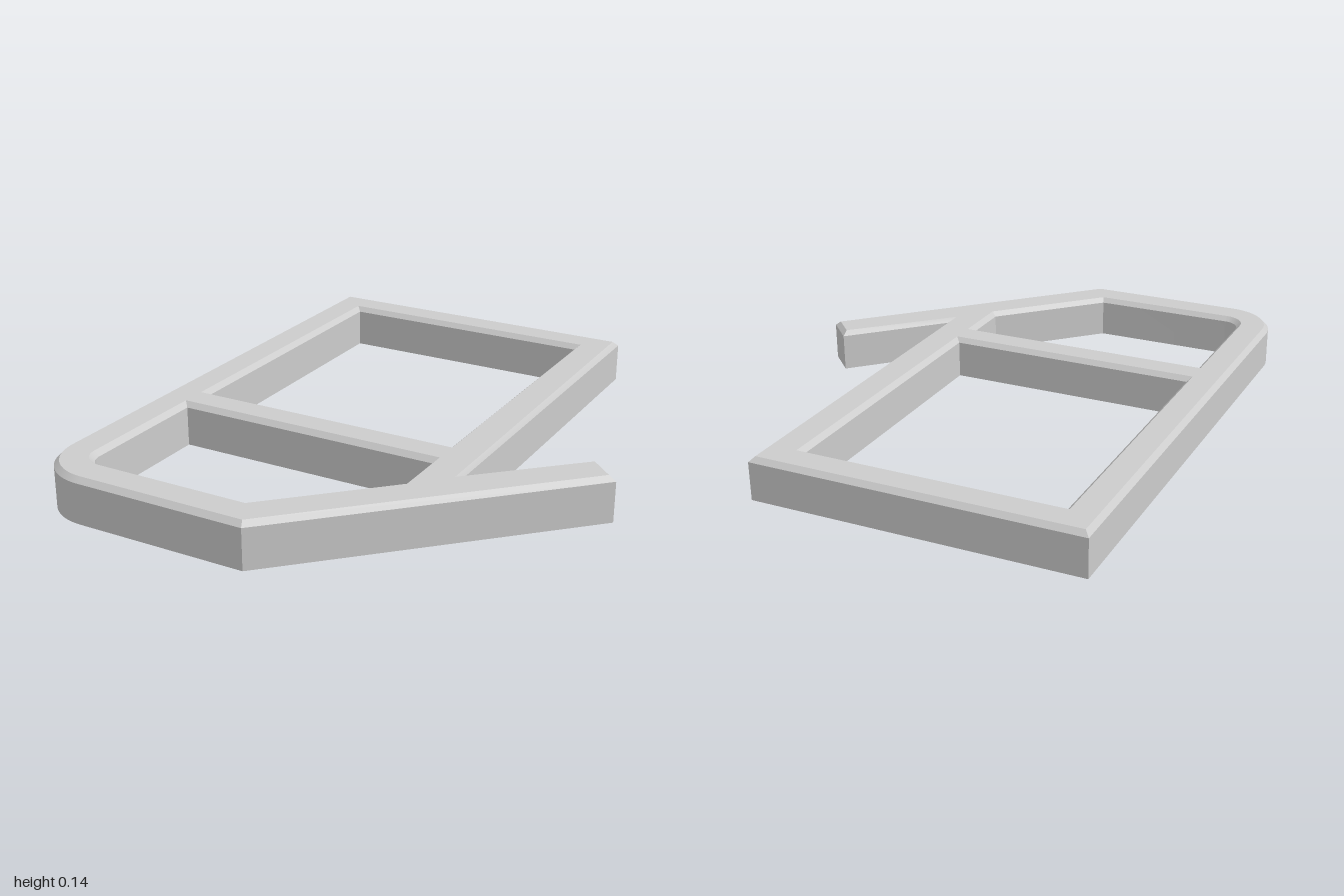
import * as THREE from 'three';
import { toCreasedNormals } from 'three/addons/utils/BufferGeometryUtils.js';

const CHAMFER = 0.016, HEIGHT = 0.143;
const BAR_BACK = 0.78, BAR_FRONT = 0.907;

// Plan point on the 45 degree lines x + z = u and x - z = v (shape y is -z)
const diag = (u, v) => new THREE.Vector2((u + v) / 2, (v - u) / 2);
// Plan point where the line x + z = u, or x - z = v, crosses a given z
const onU = (u, z) => new THREE.Vector2(u - z, -z);
const onV = (v, z) => new THREE.Vector2(v + z, -z);

// Clockwise corner list ending with the rounded left corner of radius r
function rounded(points, u, v, r) {
  const c = diag(u, v);
  const arc = new THREE.Path();
  arc.absarc(c.x + r * Math.SQRT2, c.y, r, Math.PI * 1.25, Math.PI * 0.75, true);
  return [...points, ...arc.getPoints(10)];
}

export function createModel() {
  const group = new THREE.Group();
  group.name = 'slantedFrame';

  // Outer edge: slanted rectangle running into the straight front bar
  const uMin = -0.685, uMax = 0.87, vMax = 1.13, vMin = -1.467;
  const shape = new THREE.Shape(rounded([
    diag(uMin, vMax), diag(uMax, vMax), onU(uMax, BAR_BACK),
    new THREE.Vector2(0.503, -BAR_BACK), new THREE.Vector2(0.503, -BAR_FRONT),
    onV(vMin, BAR_FRONT),
  ], uMin, vMin, 0.181));

  // Large rectangular opening and the smaller opening beyond the crossbar,
  // wound against the outer edge so that their walls face inwards
  const hu0 = -0.52, hu1 = 0.7;
  const large = [
    diag(hu0, 0.965), diag(hu1, 0.965), diag(hu1, -0.445), diag(hu0, -0.445),
  ];
  const small = rounded([
    diag(hu0, -0.605), diag(hu1, -0.605), onU(hu1, BAR_BACK), onV(-1.3, BAR_BACK),
  ], hu0, -1.3, 0.06);
  for (const hole of [large, small]) shape.holes.push(new THREE.Path(hole.reverse()));

  const geometry = new THREE.ExtrudeGeometry(shape, {
    depth: HEIGHT - CHAMFER, bevelEnabled: true, bevelSegments: 1,
    bevelThickness: CHAMFER, bevelSize: CHAMFER, bevelOffset: -CHAMFER,
  });
  geometry.rotateX(-Math.PI / 2);

  // Flatten the lower chamfer so only the top edges stay bevelled
  const pos = geometry.attributes.position;
  for (let i = 0; i < pos.count; i++) pos.setY(i, Math.max(0, pos.getY(i)));

  const frame = new THREE.Mesh(
    toCreasedNormals(geometry, 0.4),
    new THREE.MeshStandardMaterial({ color: 0xcccccc }),
  );
  frame.name = 'chamferedFrame';
  group.add(frame);
  return group;
}
